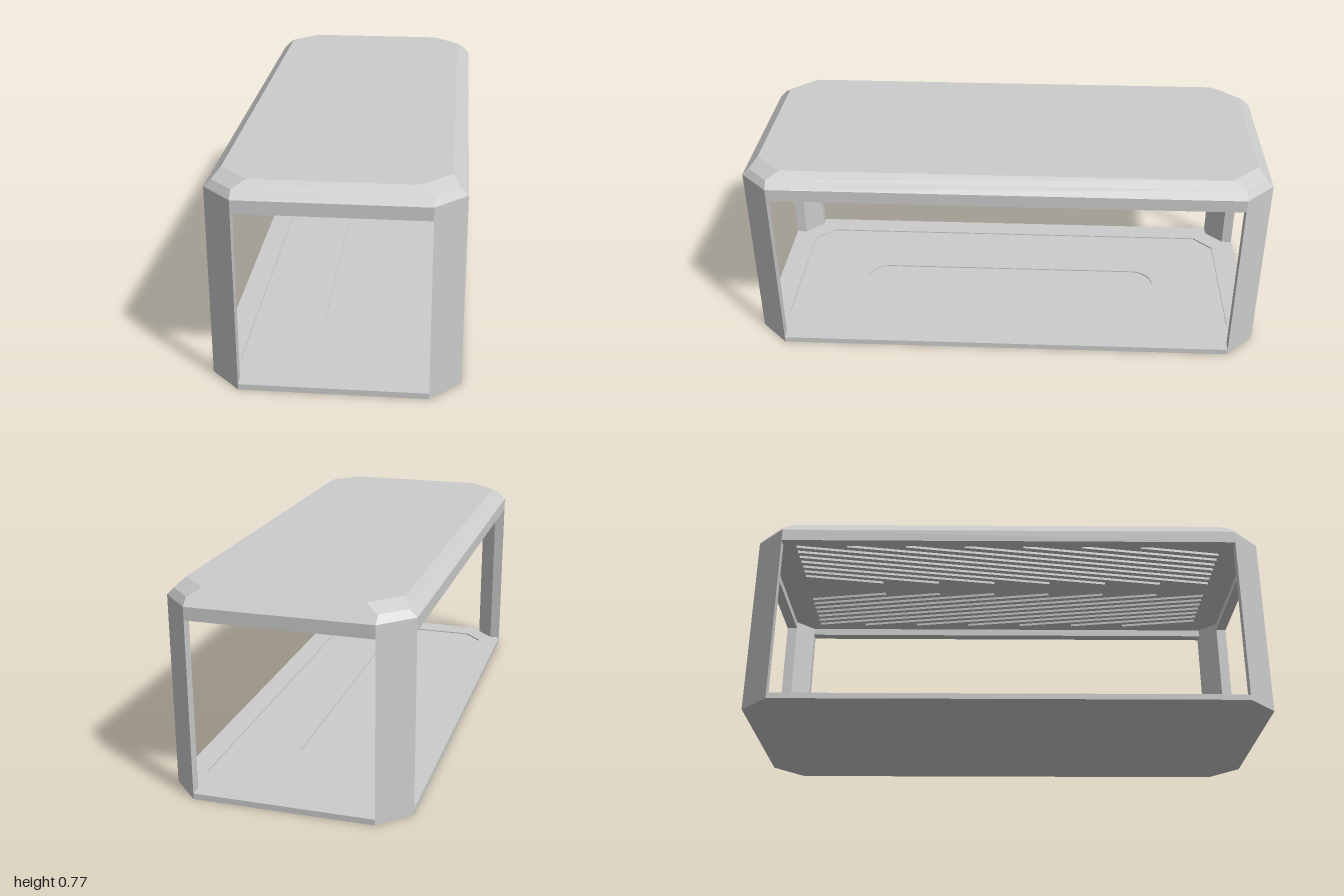
import * as THREE from 'three';

const HX = 0.443, HZ = 1, CUT = 0.11, WALL = 0.042;
const FLOOR = 0.022, RIM = 0.67, EAVE = 0.718;
const grey = new THREE.MeshStandardMaterial({ color: 0xcccccc, flatShading: true });

// rectangle with cut corners, counter-clockwise
function octagon(hx, hz, c) {
  return [
    [hx, -hz + c], [hx, hz - c], [hx - c, hz], [-hx + c, hz],
    [-hx, hz - c], [-hx, -hz + c], [-hx + c, -hz], [hx - c, -hz],
  ].map(([x, y]) => new THREE.Vector2(x, y));
}

// flat plate lying between two heights, with an optional hole
function plate(points, y0, y1, hole) {
  const shape = new THREE.Shape(points);
  if (hole) shape.holes.push(new THREE.Path(hole));
  const geo = new THREE.ExtrudeGeometry(shape, { depth: y1 - y0, bevelEnabled: false });
  return geo.rotateX(-Math.PI / 2).translate(0, y0, 0);
}

// skin through stacked rings, closed by a fan on top
function loft(rings) {
  const pos = [];
  const put = (ring, i) => {
    const p = ring.pts[i % ring.pts.length];
    pos.push(p.x, ring.y, -p.y);
  };
  const n = rings[0].pts.length;
  for (let r = 0; r < rings.length - 1; r++) {
    const a = rings[r], b = rings[r + 1];
    for (let i = 0; i < n; i++) {
      put(a, i); put(a, i + 1); put(b, i + 1);
      put(a, i); put(b, i + 1); put(b, i);
    }
  }
  const top = rings[rings.length - 1];
  for (let i = 1; i < n - 1; i++) { put(top, 0); put(top, i); put(top, i + 1); }
  const geo = new THREE.BufferGeometry();
  geo.setAttribute('position', new THREE.Float32BufferAttribute(pos, 3));
  geo.computeVertexNormals();
  return geo;
}

// long slot with round ends
function slot(r, half, steps = 12) {
  const pts = [];
  for (const end of [0, 1]) {
    for (let i = 0; i <= steps; i++) {
      const a = Math.PI * (end + i / steps);
      pts.push(new THREE.Vector2(r * Math.cos(a), (end ? -half : half) + r * Math.sin(a)));
    }
  }
  return pts;
}

export function createModel() {
  const model = new THREE.Group();
  const add = (name, geo, parent = model) => {
    const mesh = new THREE.Mesh(geo, grey);
    mesh.name = name;
    parent.add(mesh);
    return mesh;
  };
  const outer = octagon(HX, HZ, CUT);
  const inner = octagon(HX - WALL, HZ - WALL, 0.068);

  // floor: slab, sunken panel with a long slot, raised border
  add('floorSlab', plate(outer, 0, 0.012));
  add('floorPanel', plate(outer, 0.012, 0.017, slot(0.087, 0.53)));
  add('floorBorder', plate(outer, 0.017, FLOOR, octagon(0.355, 0.905, 0.075)));

  // corner posts
  for (const sx of [1, -1]) {
    for (const sz of [1, -1]) {
      const section = [
        [HX - CUT, HZ], [HX - CUT, HZ - WALL], [HX - WALL, HZ - CUT], [HX, HZ - CUT],
      ].map(([x, z]) => new THREE.Vector2(x * sx, z * sz));
      add('cornerPost', plate(section, FLOOR, RIM));
    }
  }

  // roof: rim, bevelled cap, ceiling
  add('roofRim', plate(outer, RIM, EAVE, inner));
  add('roofCap', loft([
    { y: EAVE, pts: outer },
    { y: 0.745, pts: octagon(0.416, 0.973, 0.083) },
    { y: 0.773, pts: octagon(0.39, 0.945, 0.105) },
  ]));
  add('ceiling', plate(inner, 0.7, EAVE));

  // slanted ceiling slats, mirrored about the centre line
  const slats = new THREE.Group();
  slats.name = 'ceilingSlats';
  model.add(slats);
  const lean = 0.17, uMin = 0.05, uMax = 0.35, zMax = 0.85;
  for (let c = -0.04; c < 0.45; c += 0.04) {
    const z0 = Math.max(-zMax, (c - uMax) / lean);
    const z1 = Math.min(zMax, (c - uMin) / lean);
    if (z1 - z0 < 0.15) continue;
    const zm = (z0 + z1) / 2;
    for (const side of [1, -1]) {
      const slat = add('slat', new THREE.BoxGeometry(0.014, 0.012, (z1 - z0) * Math.hypot(1, lean)), slats);
      slat.position.set(side * (c - lean * zm), 0.696, zm);
      slat.rotation.y = -side * Math.atan(lean);
    }
  }
  return model;
}
